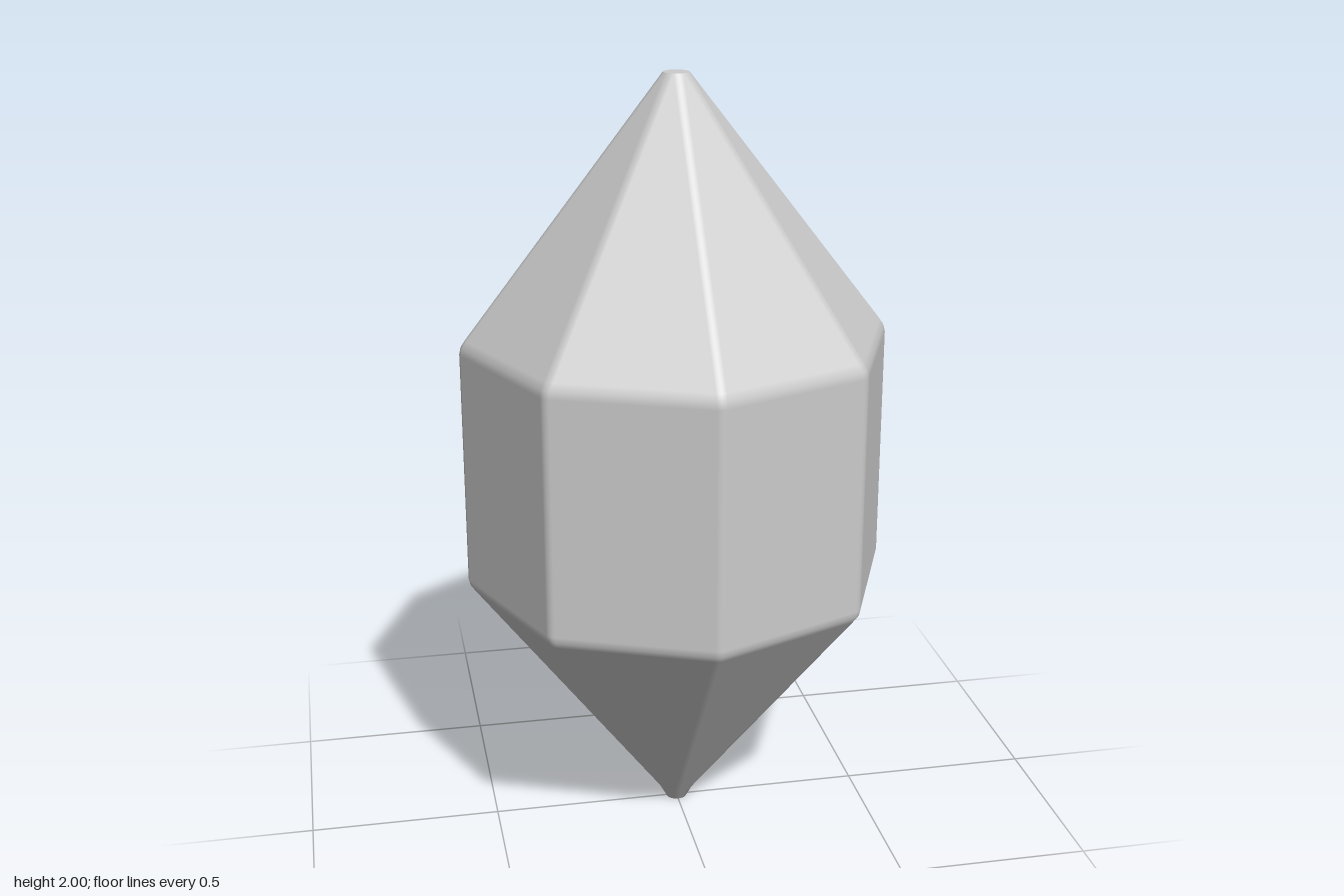
import * as THREE from 'three';

const SIDES = 8, ARC = 4, EDGE = 0.033;   // facets, segments per rounded edge, edge radius
const TILT = 0.625;                       // lean of the sloped facets' normals

// Rings from bottom to top: [corner radius, height, normal tilt]
const RINGS = [
  [0.028, 0, -TILT], [0.047, 0.035, -TILT],
  [0.537, 0.67, -TILT], [0.549, 0.687, -TILT / 2], [0.553, 0.705, 0],
  [0.553, 1.315, 0], [0.549, 1.333, TILT / 2], [0.537, 1.351, TILT],
  [0.033, 2, TILT],
];

// Octagonal shell: each ring is a small octagon widened by a circle, so its corners are round
function shellGeometry() {
  const positions = [], normals = [], index = [];
  const step = (Math.PI * 2) / SIDES, count = SIDES * (ARC + 1);
  for (const [radius, y, tilt] of RINGS) {
    const round = Math.min(EDGE, radius), core = radius - round;
    for (let k = 0; k < SIDES; k++) {
      for (let s = 0; s <= ARC; s++) {
        const corner = k * step, a = corner + (s / ARC - 0.5) * step;
        positions.push(
          core * Math.cos(corner) + round * Math.cos(a), y,
          core * Math.sin(corner) + round * Math.sin(a));
        normals.push(Math.cos(a) * Math.cos(tilt), Math.sin(tilt), Math.sin(a) * Math.cos(tilt));
      }
    }
  }
  for (let j = 0; j < RINGS.length - 1; j++) {
    for (let i = 0; i < count; i++) {
      const a = j * count + i, b = j * count + (i + 1) % count;
      index.push(a, a + count, b, b, a + count, b + count);
    }
  }
  const geometry = new THREE.BufferGeometry();
  geometry.setAttribute('position', new THREE.Float32BufferAttribute(positions, 3));
  geometry.setAttribute('normal', new THREE.Float32BufferAttribute(normals, 3));
  geometry.setIndex(index);
  return geometry;
}

export function createModel() {
  const group = new THREE.Group();
  group.name = 'crystal';
  const material = new THREE.MeshStandardMaterial({ color: 0xcccccc });
  const add = (name, geometry) => {
    const mesh = new THREE.Mesh(geometry, material);
    mesh.name = name;
    group.add(mesh);
    return mesh;
  };

  add('crystalShell', shellGeometry());

  // Small flat discs closing both points
  const top = add('topTip', new THREE.CircleGeometry(0.033, SIDES * ARC));
  top.rotation.x = -Math.PI / 2;
  top.position.y = 2;
  const bottom = add('bottomTip', new THREE.CircleGeometry(0.028, SIDES * ARC));
  bottom.rotation.x = Math.PI / 2;

  return group;
}
